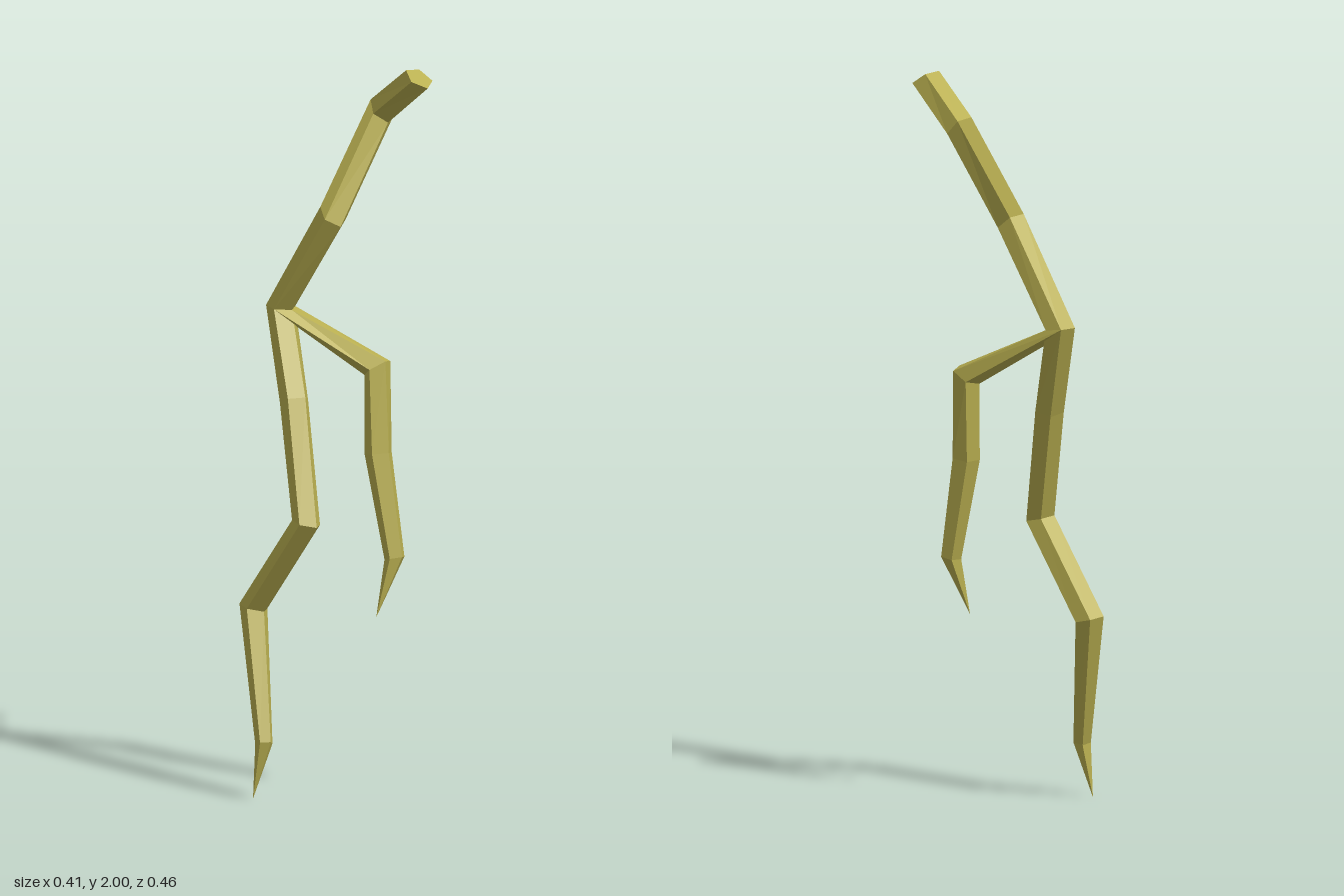
import * as THREE from 'three';

const SIDES = 5;
const FRONT = new THREE.Vector3(-0.12, 0, 1); // the ridge of the five-sided section points this way
const V = (a) => new THREE.Vector3(...a);

// Direction of the cross-section at joint i: given, or averaged from its two segments
function tangentAt(joints, i) {
  if (joints[i].dir) return V(joints[i].dir).normalize();
  const here = V(joints[i].at);
  const t = new THREE.Vector3();
  if (i > 0) t.add(here.clone().sub(V(joints[i - 1].at)).normalize());
  if (i < joints.length - 1) t.add(V(joints[i + 1].at).sub(here).normalize());
  return t.normalize();
}

// Five corners around a joint
function ringAt(joints, i) {
  const t = tangentAt(joints, i);
  const n = FRONT.clone().addScaledVector(t, -FRONT.dot(t)).normalize();
  const b = t.clone().cross(n);
  return Array.from({ length: SIDES }, (_, k) => {
    const a = (k / SIDES) * Math.PI * 2;
    return V(joints[i].at)
      .addScaledVector(n, Math.cos(a) * joints[i].r)
      .addScaledVector(b, Math.sin(a) * joints[i].r);
  });
}

// Faceted limb through the joints, closed at its start and ending in a point
function limb(name, joints, tip, material) {
  const pos = [];
  const tri = (...corners) => corners.forEach((p) => pos.push(p.x, p.y, p.z));
  const rings = joints.map((_, i) => ringAt(joints, i));
  const end = V(tip);
  const last = rings.length - 1;
  for (let k = 0; k < SIDES; k++) {
    const m = (k + 1) % SIDES;
    for (let i = 0; i < last; i++) {
      const [p, q] = [rings[i], rings[i + 1]];
      tri(p[k], p[m], q[m]);
      tri(p[k], q[m], q[k]);
    }
    tri(rings[last][k], rings[last][m], end);
    tri(V(joints[0].at), rings[0][m], rings[0][k]);
  }
  const geometry = new THREE.BufferGeometry();
  geometry.setAttribute('position', new THREE.Float32BufferAttribute(pos, 3));
  geometry.computeVertexNormals();
  const mesh = new THREE.Mesh(geometry, material);
  mesh.name = name;
  return mesh;
}

export function createModel() {
  const group = new THREE.Group();
  group.name = 'forkedRoot';
  const material = new THREE.MeshStandardMaterial({ color: 0xb9af50, flatShading: true });
  const R = 0.042;
  const fork = { at: [0.008, 1.32, -0.193], r: R, dir: [0, -0.99, -0.1] };

  // Main stem from the cut top down to the long point
  group.add(limb('mainRoot', [
    { at: [0.122, 1.979, 0.198], r: R, dir: [0, -0.82, -0.57] },
    { at: [0.162, 1.867, 0.034], r: R, dir: [0, -0.66, -0.75] },
    { at: [0.006, 1.592, -0.01], r: R, dir: [0, -0.77, -0.64] },
    fork,
    { at: [-0.055, 1.08, -0.094], r: 0.041 },
    { at: [-0.124, 0.763, 0.004], r: 0.041 },
    { at: [-0.11, 0.508, -0.192], r: 0.041 },
    { at: [-0.183, 0.153, -0.096], r: 0.025 },
  ], [-0.197, 0, -0.124], material));

  // Side branch leaving the fork
  group.add(limb('branchRoot', [
    fork,
    { at: [0.09, 1.172, 0.077], r: 0.042 },
    { at: [0.068, 0.94, 0.1], r: 0.039 },
    { at: [0.061, 0.66, 0.162], r: 0.029 },
  ], [0.013, 0.5, 0.136], material));

  return group;
}
